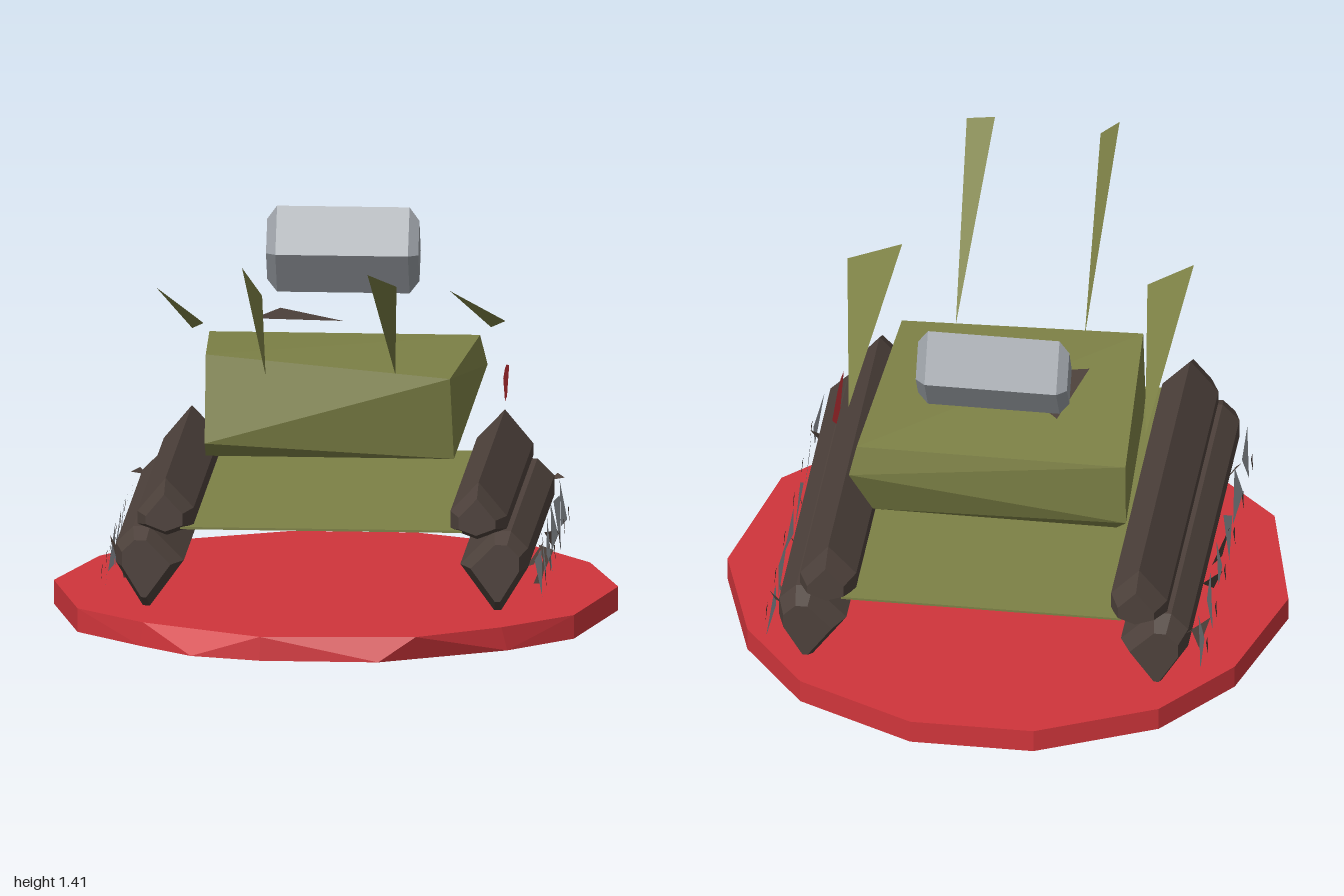
import * as THREE from 'three';
import { ConvexGeometry } from 'three/addons/geometries/ConvexGeometry.js';

const mat = (name, color) => new THREE.MeshStandardMaterial({ name, color, side: THREE.DoubleSide });

export function createModel() {
  const red = mat('red', 0xd0353b);
  const olive = mat('olive', 0x7d8146);
  const brown = mat('dark brown', 0x4d413b);
  const grey = mat('steel grey', 0x989da3);
  const model = new THREE.Group();
  model.name = 'tank';

  const add = (name, geometry, material, parent = model) => {
    const mesh = new THREE.Mesh(geometry, material);
    mesh.name = name;
    parent.add(mesh);
    return mesh;
  };
  // faceted solid around a few corner points
  const hull = (name, points, material, parent) =>
    add(name, new ConvexGeometry(points.map(p => new THREE.Vector3(...p))), material, parent);
  // flat polygon as a triangle fan
  const plate = (name, points, material, parent) => {
    const g = new THREE.BufferGeometry();
    const pos = [];
    for (let i = 1; i < points.length - 1; i++) pos.push(...points[0], ...points[i], ...points[i + 1]);
    g.setAttribute('position', new THREE.Float32BufferAttribute(pos, 3));
    g.computeVertexNormals();
    return add(name, g, material, parent);
  };
  // cross-section stretched along an axis, with tapered ends
  const taperedBar = (section, half, bevel, shrink, place) => {
    const ca = section.reduce((s, p) => s + p[0], 0) / section.length;
    const cb = section.reduce((s, p) => s + p[1], 0) / section.length;
    const out = [];
    for (const [d, k] of [[-half, shrink], [-half + bevel, 1], [half - bevel, 1], [half, shrink]])
      for (const [a, b] of section) out.push(place(ca + (a - ca) * k, cb + (b - cb) * k, d));
    return out;
  };

  // round base with an uneven front rim
  const rim = [[-0.22, -0.98], [0.22, -0.98], [0.64, -0.78], [0.87, -0.48], [1, -0.05], [0.88, 0.48],
    [-0.88, 0.48], [-1, -0.03], [-0.87, -0.48], [-0.64, -0.78]];
  const topFront = [[0.64, 0.72], [0.35, 0.92], [-0.2, 0.955], [-0.63, 0.72]];
  const bottomFront = [[0.66, 0.71], [0.22, 0.96], [-0.2, 0.96], [-0.45, 0.89], [-0.64, 0.72]];
  hull('base', [
    ...[...rim, ...topFront].map(([x, z]) => [x, 0.085, z]),
    ...[...rim, ...bottomFront].map(([x, z]) => [x, 0, z]),
  ], red);

  // hull deck
  add('deck', new THREE.BoxGeometry(1.0, 0.008, 1.46), olive).position.set(0, 0.427, -0.01);

  // lopsided turret
  hull('turret', [
    [-0.44, 0.965, 0.27], [0.43, 0.90, 0.33], [0.48, 0.90, -0.48], [-0.48, 0.90, -0.48],
    [-0.44, 0.655, 0.33], [0.505, 0.79, -0.50], [-0.48, 0.655, -0.47],
    [0.44, 0.60, 0.27], [-0.44, 0.60, 0.27], [0.43, 0.60, -0.42], [-0.44, 0.60, -0.42],
  ], olive);

  // gun barrels and side fins
  plate('barrelRight', [[-0.225, 0.90, 0.31], [-0.19, 1.32, 0.98], [-0.265, 1.41, 0.93]], olive);
  plate('barrelLeft', [[0.235, 0.91, 0.31], [0.285, 1.355, 0.96], [0.18, 1.39, 0.93]], olive);
  plate('finRight', [[-0.53, 0.94, -0.33], [-0.44, 1.10, 0.38], [-0.61, 1.22, 0.35]], olive);
  plate('finLeft', [[0.53, 0.96, -0.32], [0.63, 1.12, 0.37], [0.43, 1.22, 0.34]], olive);

  // hatch and side marker
  plate('hatch', [[-0.22, 1.01, -0.37], [-0.295, 1.03, -0.07], [0.02, 1.015, -0.12]], brown);
  plate('sideMarker', [[0.06, 0.85], [-0.02, 0.87], [-0.1, 0.87], [-0.24, 0.84], [-0.13, 0.75], [-0.03, 0.75]]
    .map(([z, y]) => [0.6, y, z]).reverse(), red);

  // rear pod floating above the turret
  hull('rearPod', taperedBar([[1.37, -0.41], [1.21, -0.32], [1.06, -0.41], [1.20, -0.50]],
    0.27, 0.035, 0.7, (y, z, x) => [x, y, z]), grey);

  // tracks, wheel plates and spikes on each side
  const upper = [[0.555, 0.595], [0.455, 0.49], [0.455, 0.425], [0.55, 0.39], [0.655, 0.43], [0.655, 0.475]];
  const lower = [[0.61, 0.42], [0.49, 0.30], [0.61, 0.135], [0.635, 0.135], [0.73, 0.29], [0.73, 0.36], [0.67, 0.42]];
  const wheels = [
    [[0.68, 0.32], [0.47, 0.32], [0.58, 0.17]],
    [[0.35, 0.37], [0.24, 0.20], [0.43, 0.21]],
    [[0.06, 0.36], [0.22, 0.25], [0.07, 0.16]],
    [[-0.12, 0.37], [-0.04, 0.21], [-0.21, 0.24]],
    [[-0.27, 0.345], [-0.44, 0.335], [-0.36, 0.15]],
    [[-0.58, 0.36], [-0.50, 0.21], [-0.68, 0.20]],
  ];
  const spikes = [
    [[0.42, 0.34], [0.50, 0.27], [0.44, 0.25]],
    [[-0.07, 0.21], [-0.08, 0.14], [-0.16, 0.21]],
    [[-0.38, 0.22], [-0.46, 0.14], [-0.44, 0.20]],
    [[0.12, 0.27], [0.14, 0.13], [0.09, 0.12]],
    [[-0.63, 0.36], [-0.69, 0.365], [-0.68, 0.34]],
  ];
  for (const s of [-1, 1]) {
    const side = new THREE.Group();
    side.name = s > 0 ? 'leftTrack' : 'rightTrack';
    model.add(side);
    const along = (x, y, z) => [s * x, y, z - 0.005];
    hull('upperTrack', taperedBar(upper, 0.745, 0.08, 0.65, along), brown, side);
    hull('lowerTrack', taperedBar(lower, 0.745, 0.08, 0.72, along), brown, side);
    for (const tri of wheels) {
      plate('wheelPlate', tri.map(([z, y], i) => [s * (0.755 + 0.01 * i), y, z]), grey, side);
      const z = (tri[0][0] + tri[1][0] + tri[2][0]) / 3;
      plate('axleSpike', [[s * 0.785, 0.265, z - 0.02], [s * 0.785, 0.265, z + 0.02], [s * 0.79, 0.20, z]], brown, side);
    }
    for (const tri of spikes)
      plate('trackSpike', tri.map(([z, y], i) => [s * (0.77 - 0.03 * i), y, z]), brown, side);
  }
  return model;
}
